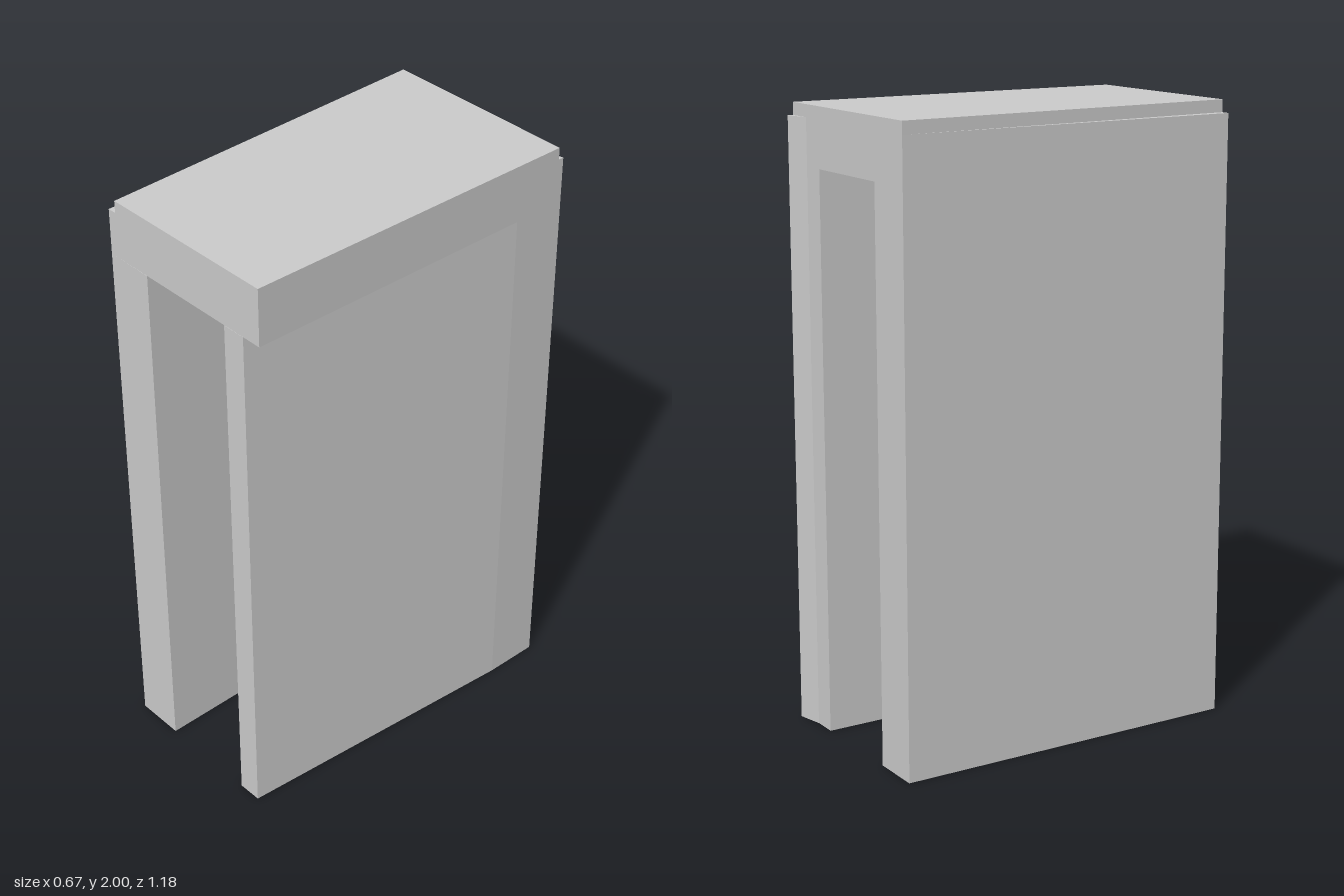
import * as THREE from 'three';

const material = new THREE.MeshStandardMaterial({ color: 0xcccccc, flatShading: true });

// Raise a plan outline of [x, z] corners from height y0 to y1
function prism(name, plan, y0, y1) {
  const shape = new THREE.Shape(plan.map(([x, z]) => new THREE.Vector2(x, -z)));
  const geometry = new THREE.ExtrudeGeometry(shape, { depth: y1 - y0, bevelEnabled: false });
  geometry.rotateX(-Math.PI / 2).translate(0, y0, 0);
  const mesh = new THREE.Mesh(geometry, material);
  mesh.name = name;
  return mesh;
}

export function createModel() {
  const group = new THREE.Group();
  group.name = 'doorwayArch';
  const front = 0.59, back = -0.574, spur = -0.593;
  const springing = 1.81, ledge = 1.96, top = 2;

  group.add(
    // straight wall
    prism('rightWall', [[-0.337, front], [-0.172, front], [-0.172, back], [-0.337, back]], 0, springing),
    // wall that thickens towards the back, ending in a skewed corner
    prism('leftWall', [[0.17, 0.588], [0.25, 0.587], [0.332, -0.41], [0.335, spur], [0.25, back], [0.17, back]], 0, springing),
    // lintel over both walls, keeping the skewed back corner
    prism('lintel', [[-0.337, front], [0.318, 0.586], [0.335, spur], [0.25, back], [-0.337, back]], springing, ledge),
    // cap set back from the lintel to leave thin ledges
    prism('cap', [[-0.307, front], [0.318, 0.586], [0.335, back], [-0.337, back]], ledge, top),
  );
  return group;
}
